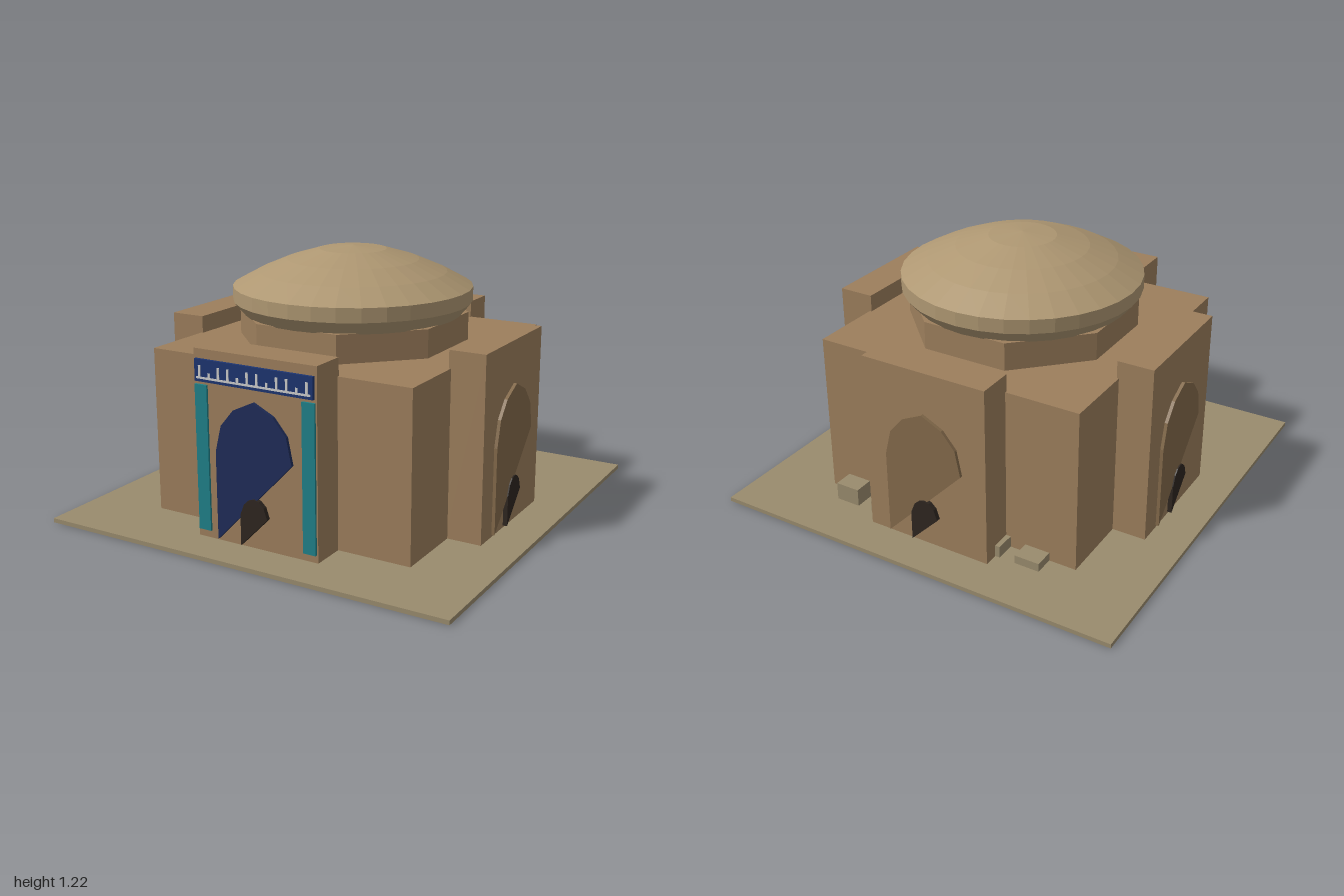
import * as THREE from 'three';

const material = (color) => new THREE.MeshStandardMaterial({ color, flatShading: true, side: THREE.DoubleSide });
const brick = material(0x9c7e5c);
const domeClay = material(0xae9772);
const sand = material(0x998b6d);
const recess = material(0x836a4b);
const dark = material(0x2e2620);
const navy = material(0x1f2c58);
const bandBlue = material(0x1d3470);
const turquoise = material(0x1f8088);
const white = material(0xdcdcdc);

function add(parent, name, geometry, mat, x = 0, y = 0, z = 0) {
  const mesh = new THREE.Mesh(geometry, mat);
  mesh.name = name;
  mesh.position.set(x, y, z);
  parent.add(mesh);
  return mesh;
}

// box given by its centre in x and z and its bottom and top in y
function block(parent, name, mat, w, d, y0, y1, x, z) {
  return add(parent, name, new THREE.BoxGeometry(w, y1 - y0, d), mat, x, (y0 + y1) / 2, z);
}

// thin plate extruded from an outline
function plate(parent, name, points, depth, mat, z) {
  const shape = new THREE.Shape(points.map(([x, y]) => new THREE.Vector2(x, y)));
  const geometry = new THREE.ExtrudeGeometry(shape, { depth, bevelEnabled: false });
  return add(parent, name, geometry, mat, 0, 0, z);
}

// pointed arch and doorway, each closed by a slanting edge to the lower corner
const archOutline = [[-0.195, 0.03], [0.19, 0.43], [0.165, 0.55], [0.1, 0.627], [0, 0.675],
  [-0.1, 0.627], [-0.165, 0.55], [-0.195, 0.43]];
const doorOutline = [[-0.07, 0.03], [0.067, 0.17], [0.05, 0.22], [0.025, 0.243], [0, 0.25],
  [-0.025, 0.243], [-0.05, 0.22], [-0.07, 0.17]];

// portal facing +z; the main one carries the tiles
function portal(name, isMain) {
  const group = new THREE.Group();
  group.name = name;
  block(group, 'portalBlock', brick, 0.614, 0.17, 0.02, 0.87, 0, 0.73);
  plate(group, 'archNiche', archOutline, 0.02, isMain ? navy : recess, 0.81);
  plate(group, 'doorway', doorOutline, 0.026, dark, 0.81);
  if (!isMain) return group;

  for (const side of [-1, 1]) {
    block(group, 'tileStrip', turquoise, 0.062, 0.014, 0.055, 0.715, side * 0.269, 0.818);
  }
  block(group, 'tileBand', bandBlue, 0.59, 0.018, 0.73, 0.828, 0, 0.82);
  block(group, 'bandLine', white, 0.57, 0.004, 0.743, 0.752, 0, 0.83);
  for (let i = 0; i < 12; i++) {
    const top = i % 3 === 1 ? 0.772 : 0.802;
    block(group, 'bandTick', white, 0.011, 0.004, 0.752, top, -0.268 + i * 0.0487, 0.83);
  }
  return group;
}

export function createModel() {
  const model = new THREE.Group();
  model.name = 'domedPavilion';

  block(model, 'groundSlab', sand, 2, 2, 0, 0.02, 0, 0);
  block(model, 'mainHall', brick, 1.31, 1.31, 0.02, 0.79, 0, 0);

  // four portals around the hall
  ['frontPortal', 'leftPortal', 'backPortal', 'rightPortal'].forEach((name, i) => {
    const group = portal(name, i === 0);
    group.rotation.y = i * Math.PI / 2;
    model.add(group);
  });

  // octagonal drum, flat sides to the portals
  const drum = add(model, 'drum', new THREE.CylinderGeometry(0.536, 0.536, 0.13, 8), brick, 0, 0.855, 0);
  drum.rotation.y = Math.PI / 8;

  // flared collar and shallow dome
  const collar = [[0, 0.915], [0.505, 0.915], [0.555, 0.975], [0.555, 1.04]];
  const dome = [[0.555, 1.04], [0.435, 1.105], [0.305, 1.16], [0.155, 1.205], [0, 1.22]];
  const lathe = (points) => new THREE.LatheGeometry(points.map(([r, y]) => new THREE.Vector2(r, y)), 32);
  add(model, 'domeCollar', lathe(collar), domeClay);
  add(model, 'dome', lathe(dome), domeClay);

  // loose blocks along the back wall: x and top height
  for (const [x, top] of [[0.5, 0.105], [0.305, 0.07], [-0.27, 0.075], [-0.465, 0.06]]) {
    block(model, 'looseBlock', sand, 0.12, 0.095, 0.02, top, x, -0.7);
  }
  return model;
}
